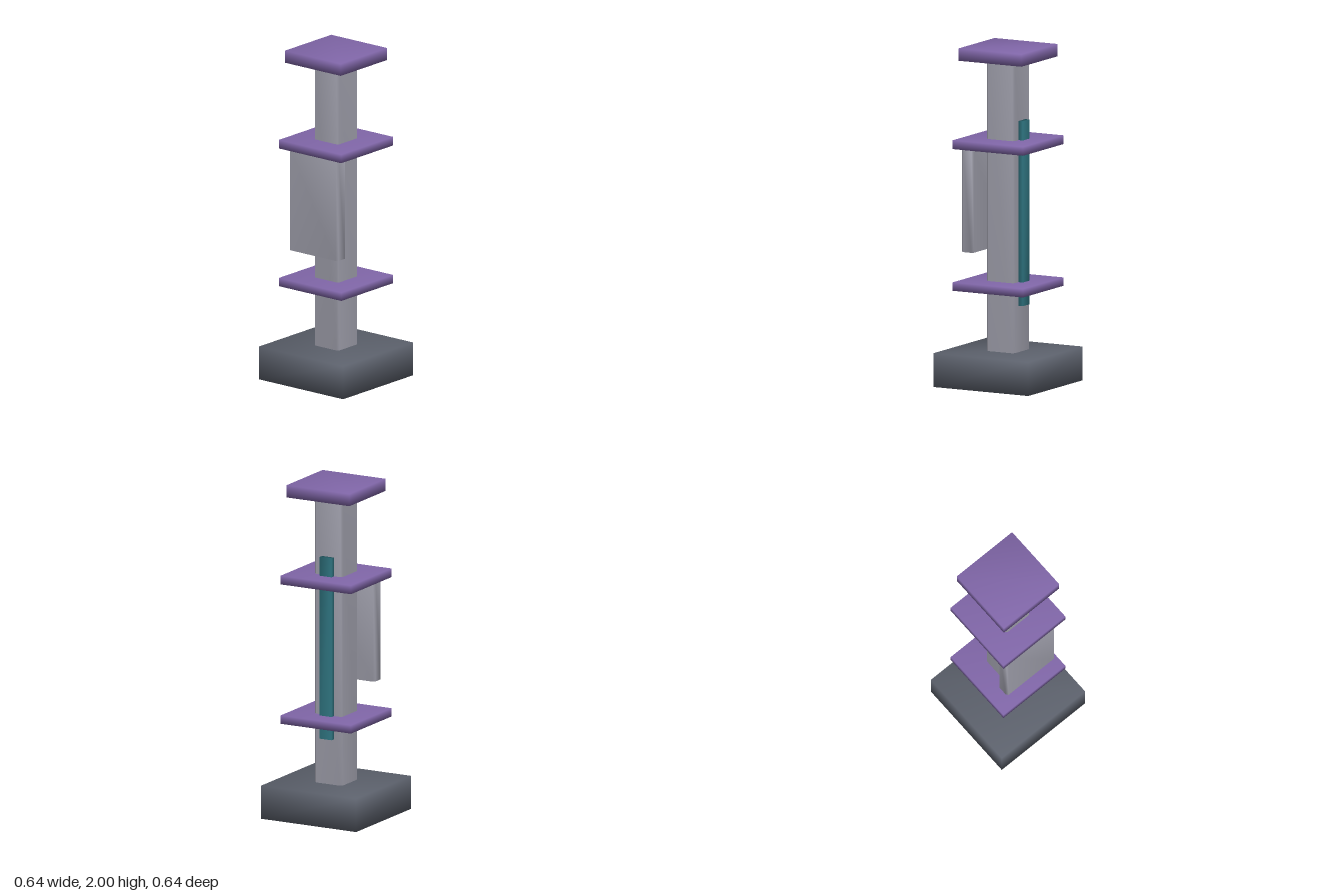
import * as THREE from 'three';
import { mergeVertices } from 'three/addons/utils/BufferGeometryUtils.js';

const material = (color) => new THREE.MeshStandardMaterial({ color });

// Shares the corners of a geometry so that its shading runs smoothly round the edges
function smooth(geometry) {
  geometry.deleteAttribute('uv');
  geometry.deleteAttribute('normal');
  const merged = mergeVertices(geometry, 1e-4);
  merged.computeVertexNormals();
  return merged;
}

// Upright block between two heights; bevel cuts its four vertical edges
function block(name, mat, w, d, y0, y1, x = 0, bevel = 0) {
  let geometry;
  if (bevel > 0) {
    const a = w / 2, b = d / 2;
    const outline = [
      [a - bevel, -b], [a, bevel - b], [a, b - bevel], [a - bevel, b],
      [bevel - a, b], [-a, b - bevel], [-a, bevel - b], [bevel - a, -b],
    ].map(([px, pz]) => new THREE.Vector2(px, pz));
    geometry = new THREE.ExtrudeGeometry(new THREE.Shape(outline), { depth: y1 - y0, bevelEnabled: false });
    geometry.rotateX(-Math.PI / 2);
    geometry.translate(0, (y0 - y1) / 2, 0);
  } else {
    geometry = new THREE.BoxGeometry(w, y1 - y0, d);
  }
  const mesh = new THREE.Mesh(smooth(geometry), mat);
  mesh.name = name;
  mesh.position.set(x, (y0 + y1) / 2, 0);
  return mesh;
}

export function createModel() {
  const model = new THREE.Group();
  model.name = 'tower';

  const dark = material(0x5c616c);
  const grey = material(0x9c9ca8);
  const purple = material(0x8066a8);
  const teal = material(0x2f7480);

  // Foot and column
  model.add(block('base', dark, 0.64, 0.64, 0, 0.2));
  model.add(block('column', grey, 0.187, 0.187, 0.19, 1.94, 0, 0.012));

  // Two platforms round the column and the cap on top
  model.add(block('lowerPlatform', purple, 0.475, 0.475, 0.565, 0.615));
  model.add(block('upperPlatform', purple, 0.475, 0.475, 1.405, 1.457));
  model.add(block('cap', purple, 0.425, 0.425, 1.927, 2));

  // Strip up the left side, through both platforms
  model.add(block('sideStrip', teal, 0.035, 0.08, 0.475, 1.57, 0.105));

  // Panel hanging under the upper platform on the right side
  model.add(block('sidePanel', grey, 0.08, 0.37, 0.79, 1.41, -0.17, 0.012));

  return model;
}
